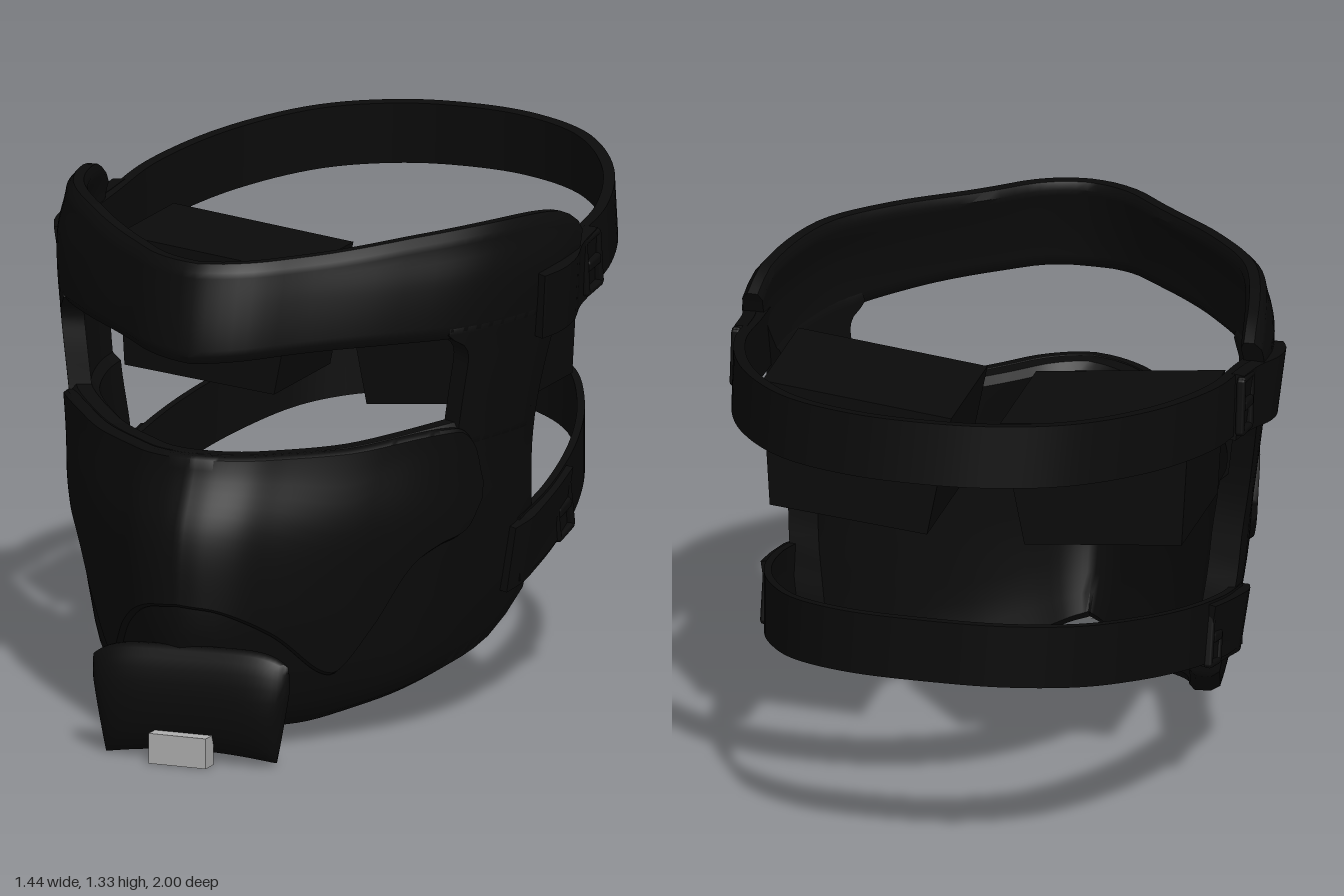
import * as THREE from 'three';
import { toCreasedNormals } from 'three/addons/utils/BufferGeometryUtils.js';
import { RoundedBoxGeometry } from 'three/addons/geometries/RoundedBoxGeometry.js';

const V = (x, y, z) => new THREE.Vector3(x, y, z);

// Smooth lookup in a short table of [key, value] pairs
function table(pairs) {
  return (k) => {
    if (k <= pairs[0][0]) return pairs[0][1];
    for (let i = 1; i < pairs.length; i++) {
      const [a, p] = pairs[i - 1], [b, q] = pairs[i];
      if (k > b) continue;
      const m = (j) => { // slope at a table point
        const l = pairs[Math.max(j - 1, 0)], r = pairs[Math.min(j + 1, pairs.length - 1)];
        return (r[1] - l[1]) / (r[0] - l[0]);
      };
      const h = b - a, t = (k - a) / h, t2 = t * t, t3 = t2 * t;
      return p * (2 * t3 - 3 * t2 + 1) + q * (3 * t2 - 2 * t3)
        + h * (m(i - 1) * (t3 - 2 * t2 + t) + m(i) * (t3 - t2));
    }
    return pairs[pairs.length - 1][1];
  };
}

// Solid through closed cross-sections, capped at both ends
function loft(rings) {
  const n = rings[0].length, last = (rings.length - 1) * n, idx = [];
  const quad = (a, b, c, d) => idx.push(a, b, c, a, c, d);
  for (let i = 0; i < rings.length - 1; i++) {
    for (let k = 0; k < n; k++) {
      const a = i * n + k, b = i * n + (k + 1) % n;
      quad(a, a + n, b + n, b);
    }
  }
  for (let k = 0; k < n / 2 - 1; k++) {
    quad(k, k + 1, n - 2 - k, n - 1 - k);
    quad(last + n - 1 - k, last + n - 2 - k, last + k + 1, last + k);
  }
  const g = new THREE.BufferGeometry().setFromPoints(rings.flat());
  g.setIndex(idx);
  return toCreasedNormals(g, 0.7);
}

// Face form: half width, front z and back z by height
const halfWidth = table([[0.05, 0.42], [0.1, 0.47], [0.18, 0.52], [0.3, 0.56], [0.42, 0.58], [0.55, 0.598], [0.7, 0.61], [1, 0.655], [1.2, 0.695], [1.33, 0.68]]);
const frontZ = table([[0.05, 0.85], [0.3, 0.93], [0.42, 0.94], [0.6, 0.92], [0.79, 0.84], [1.04, 0.87], [1.29, 0.82], [1.34, 0.8]]);
const backZ = table([[0.15, 0.06], [0.3, -0.02], [0.5, 0], [0.6, 0.02], [0.8, 0.04], [1, 0], [1.2, -0.08], [1.28, -0.12]]);
// Plan of one half, from the nose to the ear
const plan = new THREE.CatmullRomCurve3([[0, 1], [0.1, 0.985], [0.22, 0.94], [0.34, 0.86], [0.65, 0.64], [0.88, 0.41], [0.99, 0.12], [1, 0]]
  .map(([x, z]) => V(x, 0, z)));

function facePoint(s, y) {
  const p = plan.getPointAt(Math.min(Math.abs(s), 1)), b = backZ(y);
  return V(Math.sign(s) * p.x * halfWidth(y), y, b + (frontZ(y) - b) * p.z);
}
function faceOffset(s, y, off) {
  const e = 0.012, a = facePoint(Math.max(s - e, -1), y), b = facePoint(Math.min(s + e, 1), y);
  const t = b.sub(a).normalize();
  return facePoint(s, y).add(V(-t.z * off, 0, t.x * off));
}

// Thick patch of the face between two heights, with rounded rims
function patch({ s0, s1, lo, hi, out = 0, thick = 0.08, cols = 56, rows = 14, bevel = 0.02 }) {
  const rings = [];
  for (let i = 0; i <= cols; i++) {
    const a = i / cols, sm = THREE.MathUtils.lerp(s0(0.915), s1(0.915), a);
    const y0 = lo(Math.abs(sm)), y1 = hi(Math.abs(sm));
    const ring = [], inner = [];
    const add = (y, d) => {
      const s = THREE.MathUtils.lerp(s0(y), s1(y), a);
      ring.push(faceOffset(s, y, out - d));
      inner.unshift(faceOffset(s, y, out - thick + d));
    };
    add(y0, thick * 0.25);
    for (let k = 0; k <= rows; k++) add(THREE.MathUtils.lerp(y0 + bevel, y1 - bevel, k / rows), 0);
    add(y1, thick * 0.25);
    rings.push(ring.concat(inner));
  }
  return loft(rings);
}

// Flat band of given height and thickness along a path
function band(points, height, thick, up, steps = 48) {
  const curve = new THREE.CatmullRomCurve3(points);
  const rings = [];
  for (let i = 0; i <= steps; i++) {
    const c = curve.getPointAt(i / steps);
    const n = curve.getTangentAt(i / steps).cross(up).normalize();
    rings.push([[-1, 1], [1, 1], [1, -1], [-1, -1]].map(([u, o]) =>
      c.clone().addScaledVector(up, u * height / 2).addScaledVector(n, o * thick / 2)));
  }
  return loft(rings);
}

export function createModel() {
  const black = new THREE.MeshStandardMaterial({ color: 0x0b0b0b });
  black.name = 'black';
  const grey = new THREE.MeshStandardMaterial({ color: 0xb2b2b2 });
  grey.name = 'light grey';
  const model = new THREE.Group();
  model.name = 'faceMask';
  const add = (name, geo, mat = black, parent = model) => {
    const m = new THREE.Mesh(geo, mat);
    m.name = name;
    parent.add(m);
  };
  const c = (v) => () => v;

  // Mask shell: brow, lower face and the temples beside the eye opening
  const topEdge = table([[0, 1.29], [0.3, 1.3], [0.55, 1.322], [0.75, 1.33], [0.93, 1.31], [1, 1.265]]);
  const bottomEdge = table([[0, 0.07], [0.4, 0.05], [0.6, 0.08], [0.8, 0.13], [0.93, 0.18], [1, 0.28]]);
  add('brow', patch({
    s0: c(-1), s1: c(1), thick: 0.055, hi: topEdge,
    lo: table([[0, 1.035], [0.35, 1.055], [0.7, 1.05], [1, 1.04]]),
  }));
  add('lowerFace', patch({
    s0: c(-1), s1: c(1), lo: bottomEdge,
    hi: table([[0, 0.79], [0.4, 0.785], [0.7, 0.82], [1, 0.83]]),
  }));
  // Front edge of the temple, rounded into the brow
  const eyeEnd = (y) => 0.71 - 0.07 * Math.min(1, (Math.max(0, y - 0.92) / 0.135) ** 6);
  for (const side of [1, -1]) {
    add(side > 0 ? 'leftTemple' : 'rightTemple', patch({
      s0: side > 0 ? eyeEnd : c(-1),
      s1: side > 0 ? c(1) : (y) => -eyeEnd(y),
      lo: c(0.74), hi: c(1.1), thick: 0.06, cols: 12, rows: 20,
    }));
  }

  // Raised plate over nose and cheeks
  add('cheekPlate', patch({
    s0: c(-0.8), s1: c(0.8), out: 0.015, thick: 0.04, cols: 130, bevel: 0.008,
    lo: table([[0, 0.41], [0.12, 0.39], [0.25, 0.32], [0.43, 0.19], [0.52, 0.3], [0.61, 0.45], [0.68, 0.5], [0.76, 0.53], [0.8, 0.6]]),
    hi: table([[0, 0.79], [0.4, 0.785], [0.7, 0.81], [0.76, 0.76], [0.8, 0.66]]),
  }));

  // Chin piece with a lens-shaped section, wider at the top
  const chin = [];
  for (let i = 0; i <= 32; i++) {
    const t = -Math.cos(Math.PI * i / 32), r = Math.max(0.12, Math.sqrt(1 - t ** 6));
    const ring = [];
    for (let k = 0; k < 24; k++) {
      const f = (k + 0.5) / 24 * Math.PI * 2, cos = Math.cos(f);
      const y = 0.155 + 0.006 * t - (cos < 0 ? 0.148 - 0.04 * t ** 6 : 0.13 + 0.02 * t * t) * cos;
      ring.push(V(0.028 + t * (0.238 + 0.18 * Math.min(y, 0.2)), y, 0.915 + 0.055 * r * Math.sin(f)));
    }
    chin.push(ring);
  }
  add('chinPiece', loft(chin));
  add('chinTag', new THREE.BoxGeometry(0.16, 0.08, 0.05).translate(0.025, 0.04, 0.975), grey);

  // Head straps
  const loop = (half) => half.concat(half.slice(0, -1).reverse().map((p) => V(-p.x, p.y, p.z)));
  const path = (pts, y0, slope) => pts.map(([x, z]) => V(x, y0 - slope * z, z));
  const upperUp = V(0, 1, 0.13).normalize(), lowerUp = V(0, 1, 0);
  add('upperStrap', band(loop(path([[0.66, 0.08], [0.645, -0.15], [0.63, -0.38], [0.535, -0.65], [0.37, -0.86], [0.18, -0.953], [0, -0.975]],
    1.11, 0.13)), 0.165, 0.03, upperUp, 80));
  add('lowerStrap', band(loop(path([[0.585, 0.08], [0.59, -0.12], [0.555, -0.37], [0.48, -0.59], [0.37, -0.765], [0.2, -0.868], [0, -0.89]],
    0.445, 0.23)), 0.17, 0.02, lowerUp, 80));

  for (const side of [1, -1]) {
    const name = side > 0 ? 'left' : 'right';
    const flip = (pts) => pts.map((p) => V(side * p.x, p.y, p.z));
    // Strap anchors on the shell, leaning with its sides
    add(name + 'UpperAnchor', band(flip(path([[0.665, 0.12], [0.688, 0.06], [0.69, -0.02], [0.665, -0.12], [0.655, -0.24]], 1.105, 0.13)),
      0.175, 0.035, V(side * 0.1, 1, 0.13).normalize(), 14));
    add(name + 'LowerAnchor', band(flip(path([[0.575, 0.12], [0.592, 0.06], [0.593, -0.02], [0.59, -0.12], [0.58, -0.24]], 0.435, 0.23)),
      0.175, 0.03, V(side * 0.15, 1, 0).normalize(), 14));
    // Buckles: two bars, two rails and a prong
    for (const [label, x, y, z, tilt] of [['Upper', 0.675, 1.135, -0.2, 0.13], ['Lower', 0.592, 0.475, -0.2, 0.23]]) {
      const buckle = new THREE.Group();
      buckle.name = name + label + 'Buckle';
      buckle.position.set(side * x, y, z);
      buckle.rotation.x = tilt;
      for (const d of [-1, 1]) {
        add('bar', new RoundedBoxGeometry(0.024, 0.15, 0.02, 2, 0.008).translate(0, 0, d * 0.045), black, buckle);
        add('rail', new RoundedBoxGeometry(0.024, 0.018, 0.1, 2, 0.008).translate(0, d * 0.07, 0), black, buckle);
      }
      add('prong', new RoundedBoxGeometry(0.03, 0.03, 0.08, 2, 0.01), black, buckle);
      model.add(buckle);
    }
    // Slanted block behind each eye
    const block = new THREE.Shape([[0.13, 0.75], [0.55, 0.79], [0.57, 1.135], [0.065, 1.08]]
      .map(([x, y]) => new THREE.Vector2(side * x, y)));
    add(name + 'EyeBlock', new THREE.ExtrudeGeometry(block, { depth: 0.37, bevelEnabled: false }).translate(0, 0, -0.37));
  }

  model.position.x = 0.01;
  const root = new THREE.Group();
  root.name = 'mask';
  root.add(model);
  return root;
}
